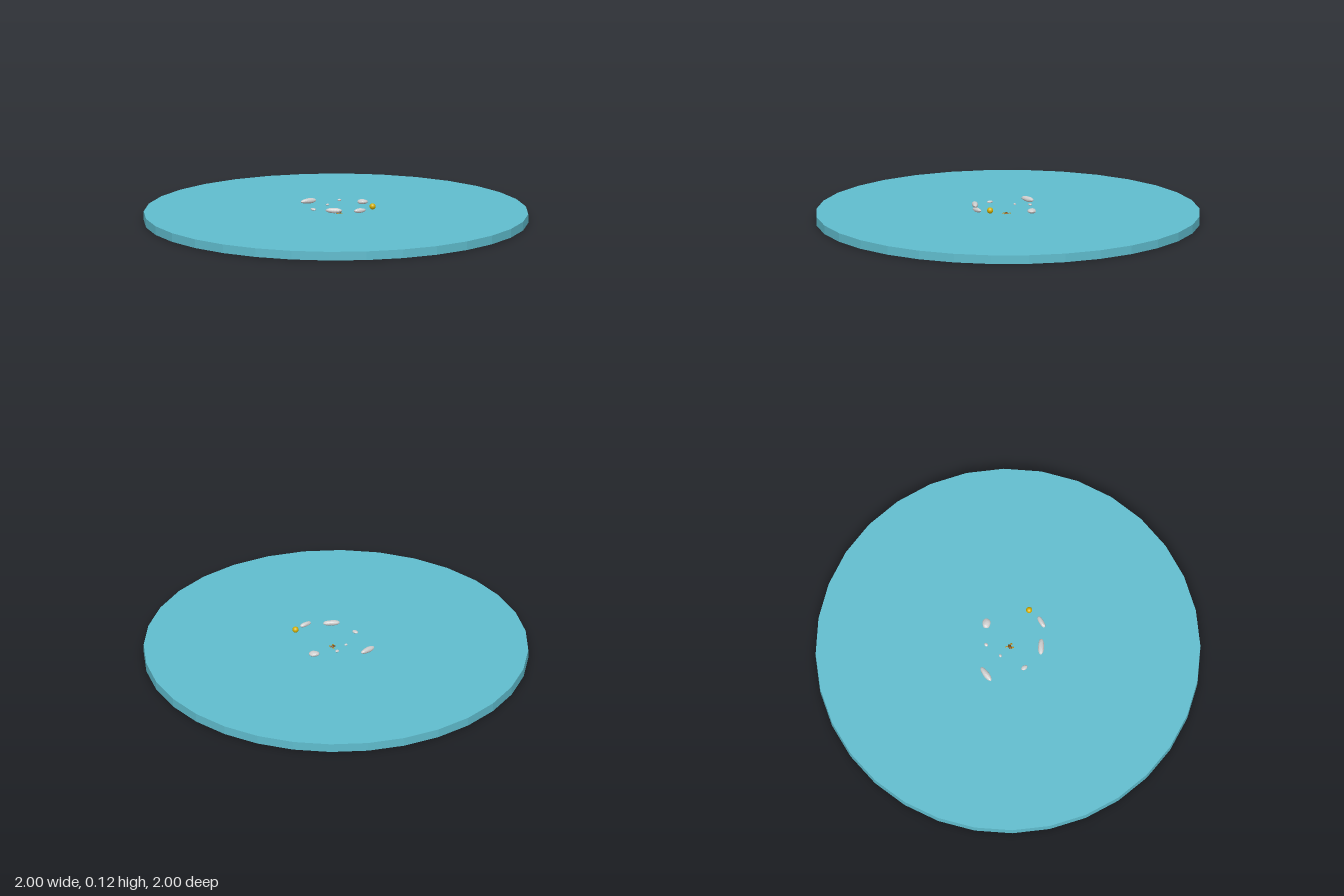
import * as THREE from 'three';

const material = (color) => new THREE.MeshStandardMaterial({ color, flatShading: true });

export function createModel() {
  const model = new THREE.Group();
  const add = (name, geometry, mat, x, y, z) => {
    const mesh = new THREE.Mesh(geometry, mat);
    mesh.name = name;
    mesh.position.set(x, y, z);
    model.add(mesh);
    return mesh;
  };

  // Round water slab
  add('waterDisc', new THREE.CylinderGeometry(1, 1, 0.046, 32), material(0x5fbccd), 0, 0.023, 0);

  // Floating flattened stones: centre, half sizes, turn about y
  const grey = material(0xcccccc);
  const stones = [
    [-0.09, 0.083, -0.165, 0.046, 0.014, 0.016, 0.2],
    [-0.07, 0.093, 0.157, 0.045, 0.014, 0.016, -0.45],
    [0.053, 0.095, 0.213, 0.035, 0.012, 0.013, 0.1],
    [0.165, 0.083, -0.05, 0.028, 0.013, 0.022, -0.5],
    [-0.138, 0.08, 0.032, 0.012, 0.007, 0.018, 0.2],
    [-0.027, 0.08, -0.055, 0.009, 0.005, 0.007, 0],
    [0.056, 0.09, -0.1, 0.011, 0.006, 0.009, 0.3],
  ];
  stones.forEach(([x, y, z, a, b, c, turn], i) => {
    // Gently uneven surface
    const geo = new THREE.IcosahedronGeometry(1, 2);
    const p = geo.attributes.position;
    const v = new THREE.Vector3();
    for (let k = 0; k < p.count; k++) {
      v.fromBufferAttribute(p, k);
      v.multiplyScalar(1 + 0.05 * Math.sin(4 * v.x + i) * Math.cos(3 * v.z + 2 * v.y));
      p.setXYZ(k, v.x, v.y, v.z);
    }
    geo.scale(a, b, c);
    geo.computeVertexNormals();
    add('stone' + (i + 1), geo, grey, x, y, z).rotation.y = turn;
  });

  // Small golden ball
  const ball = material(0xd4af00);
  ball.flatShading = false;
  add('goldBall', new THREE.SphereGeometry(0.016, 16, 12), ball, 0.136, 0.105, 0.18);

  // Tiny creature breaking the surface at the centre
  const brown = material(0x7a4a10), gold = material(0xb8860b);
  const body = add('creatureBody', new THREE.SphereGeometry(1, 10, 8), brown, 0.01, 0.044, 0.015);
  body.scale.set(0.016, 0.008, 0.009);
  for (const [x, z] of [[0.017, -0.001], [0.0, 0.027], [0.021, 0.027]]) {
    const limb = add('creatureLimb', new THREE.SphereGeometry(1, 8, 6), gold, x, 0.045, z);
    limb.scale.set(0.005, 0.004, 0.008);
  }
  return model;
}
